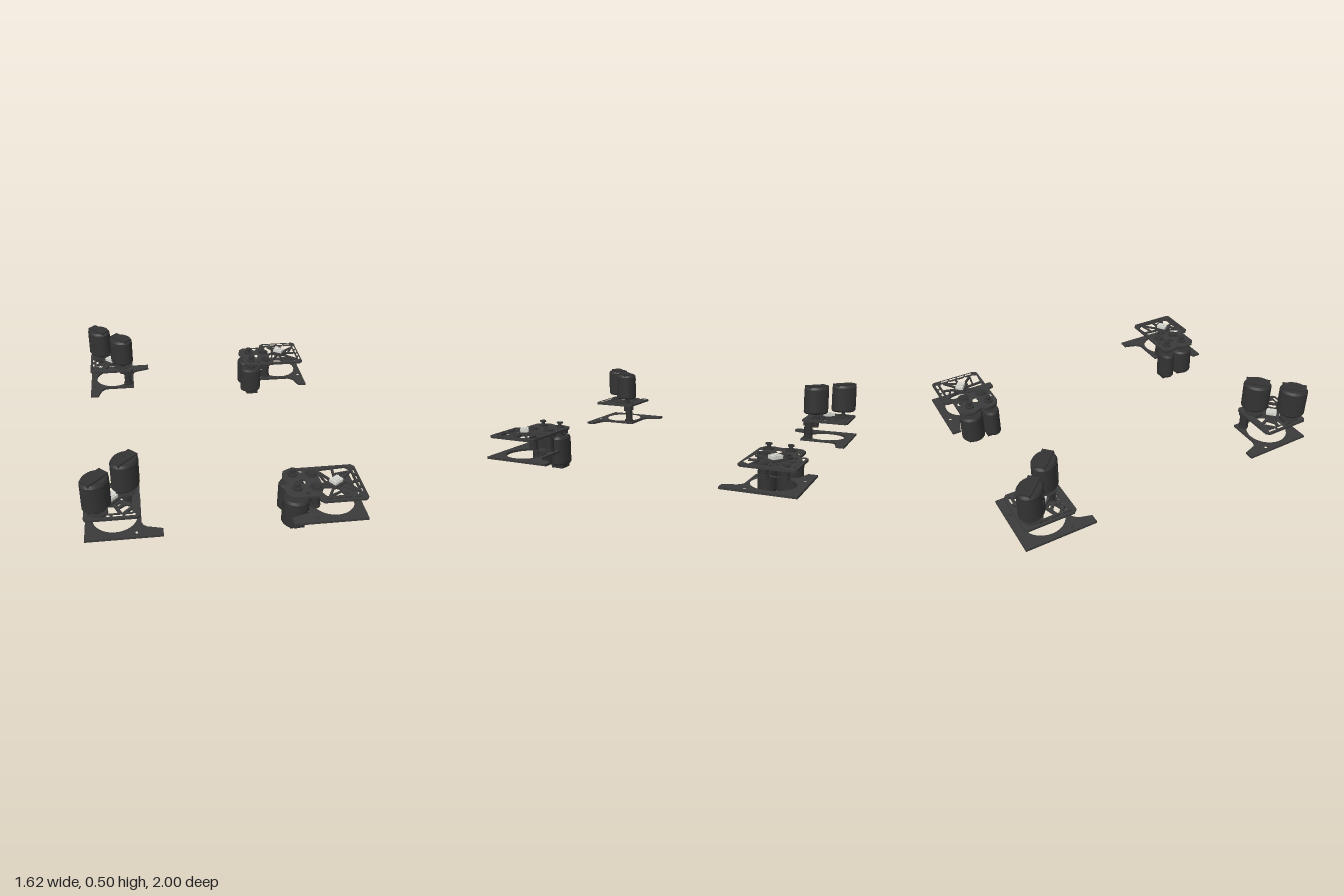
import * as THREE from 'three';

export function createModel() {
  const mat = (name, color) => Object.assign(new THREE.MeshStandardMaterial({ color }), { name });
  const plateMat = mat('charcoal plate', 0x3b3b3b);
  const motorMat = mat('dark motor', 0x333333);
  const whiteMat = mat('light sensor', 0xd6d6d0);

  // Each corner unit is laid out in the +x +z quadrant and mirrored by sx, sz.
  function kit(name, sx, sz) {
    const group = new THREE.Group();
    group.name = name;
    const add = (geo, material, part, x, y, z, turn = 0) => {
      const mesh = new THREE.Mesh(geo, material);
      mesh.name = part;
      mesh.position.set(x * sx, y, z * sz);
      mesh.rotation.y = turn * sx * sz;
      group.add(mesh);
      return mesh;
    };
    const points = pts => pts.map(([x, z]) => new THREE.Vector2(x * sx, z * sz));
    const plate = (part, outline, holes, top, depth, material = plateMat) => {
      const shape = new THREE.Shape(points(outline));
      shape.holes = holes.map(h => new THREE.Path(points(h)));
      const geo = new THREE.ExtrudeGeometry(shape, { depth, bevelEnabled: false });
      add(geo.rotateX(Math.PI / 2), material, part, 0, top, 0);
    };
    const cyl = (part, x, z, y0, y1, r, sides = 20, material = motorMat) =>
      add(new THREE.CylinderGeometry(r, r, y1 - y0, sides), material, part, x, (y0 + y1) / 2, z);
    const box = (part, x, y, z, w, h, d, turn, material = motorMat) =>
      add(new THREE.BoxGeometry(w, h, d), material, part, x, y, z, turn);
    const strut = ([x0, z0], [x1, z1], y, width = 0.013) =>
      box('latticeStrut', (x0 + x1) / 2, y, (z0 + z1) / 2, Math.hypot(x1 - x0, z1 - z0),
        0.012, width, -Math.atan2(z1 - z0, x1 - x0), plateMat);
    return { group, plate, cyl, box, strut, add };
  }

  const rect = (x0, z0, x1, z1) => [[x0, z0], [x1, z0], [x1, z1], [x0, z1]];
  const ring = (cx, cz, r, n = 32) => Array.from({ length: n }, (_, i) => {
    const a = (i / n) * Math.PI * 2;
    return [cx + r * Math.cos(a), cz + r * Math.sin(a)];
  });

  // Corner base plate with two tapering arms and a large round opening
  function basePlate(k) {
    k.plate('basePlate', [
      [0.81, 1], [0.37, 1], [0.37, 0.945], [0.46, 0.92], [0.48, 0.905], [0.49, 0.88],
      [0.49, 0.67], [0.69, 0.67], [0.71, 0.66], [0.73, 0.64], [0.755, 0.56], [0.81, 0.56],
    ], [ring(0.64, 0.82, 0.13), ring(0.52, 0.965, 0.008, 10), ring(0.78, 0.7, 0.008, 10)], 0.13, 0.014);
  }

  // Oval motor can with bevelled ends; rx and rz are its half widths
  function motor(k, x, z, y0, y1, rx, rz, turn) {
    const h = y1 - y0;
    const profile = [[0, 0], [0.9, 0], [1, 0.01], [1, h - 0.015], [0.88, h], [0, h]]
      .map(([r, y]) => new THREE.Vector2(r, y));
    // separate rings keep the rims crisp
    for (let i = 0; i < profile.length - 1; i++) {
      const geo = new THREE.LatheGeometry([profile[i], profile[i + 1]], 28);
      k.add(geo.scale(rx, 1, rz), motorMat, 'motorCan', x, y0, z, turn);
    }
  }

  // Post with collars and a toothed gear, standing between the two plates
  function post(k, x, z, top = 0.25) {
    k.cyl('postFoot', x, z, 0.13, 0.145, 0.032);
    k.cyl('post', x, z, 0.13, top, 0.025);
    k.cyl('postCollar', x, z, 0.15, 0.21, 0.03, 6);
    gear(k, x, z, 0.222, 0.247, 0.038);
  }
  function gear(k, x, z, y0, y1, r) {
    const teeth = Array.from({ length: 32 }, (_, i) => {
      const a = (i / 32) * Math.PI * 2, q = i % 4 < 2 ? r : r * 0.86;
      return [x + q * Math.cos(a), z + q * Math.sin(a)];
    });
    k.plate('gear', teeth, [], y1, y1 - y0, motorMat);
  }

  function sensor(k, x, z, turn) {
    k.box('sensorBoard', x, 0.27, z, 0.1, 0.012, 0.075, turn, plateMat);
    k.box('sensor', x, 0.285, z, 0.066, 0.022, 0.05, turn, whiteMat);
    k.box('sensorLens', x, 0.298, z, 0.03, 0.006, 0.03, turn, whiteMat);
  }

  // Unit with two motors standing on top of the upper plate
  function uprightUnit(name, sx, sz) {
    const k = kit(name, sx, sz), y = 0.258;
    basePlate(k);
    k.plate('upperPlate', [
      [0.505, 0.675], [0.785, 0.675], [0.805, 0.695], [0.805, 0.975], [0.79, 0.99],
      [0.51, 0.99], [0.49, 0.975], [0.49, 0.69],
    ], [
      rect(0.535, 0.72, 0.765, 0.945),
      ...[0, 1, 2].map(i => rect(0.52 + i * 0.07, 0.958, 0.575 + i * 0.07, 0.972)),
      ...[0, 1, 2].map(i => rect(0.778, 0.7 + i * 0.07, 0.79, 0.755 + i * 0.07)),
    ], 0.265, 0.014);
    k.plate('hubRing', ring(0.65, 0.83, 0.05), [ring(0.65, 0.83, 0.02, 16)], 0.265, 0.013);
    for (const [a, b] of [
      [[0.65, 0.83], [0.535, 0.88]], [[0.65, 0.83], [0.6, 0.945]], [[0.65, 0.83], [0.765, 0.79]],
      [[0.65, 0.83], [0.7, 0.72]], [[0.535, 0.9], [0.58, 0.945]], [[0.765, 0.76], [0.72, 0.72]],
      [[0.57, 0.865], [0.62, 0.9]], [[0.68, 0.77], [0.73, 0.8]],
    ]) k.strut(a, b, y, 0.018);

    for (const [x, z] of [[0.728, 0.915], [0.566, 0.755]]) {
      k.cyl('motorMount', x, z, 0.251, 0.267, 0.06);
      k.cyl('motorShaft', x, z, 0.21, 0.31, 0.013, 12);
      k.cyl('motorBoss', x, z, 0.265, 0.278, 0.025);
      gear(k, x, z, 0.205, 0.25, 0.024);
      motor(k, x, z, 0.305, 0.492, 0.088, 0.073, -Math.PI / 4);
      k.box('motorRib', x, 0.49, z, 0.15, 0.022, 0.07, -Math.PI / 4);
      // side terminals
      k.box('motorTerminal', x + 0.05, 0.4, z - 0.05, 0.014, 0.02, 0.02, Math.PI / 4);
      k.box('motorTerminal', x + 0.05, 0.45, z - 0.05, 0.014, 0.012, 0.02, Math.PI / 4);
    }
    post(k, 0.53, 0.715);
    sensor(k, 0.653, 0.828, -Math.PI / 4);
    return k.group;
  }

  // Unit with two motors hanging below the upper plate
  function hangingUnit(name, sx, sz) {
    const k = kit(name, sx, sz), y = 0.258;
    basePlate(k);
    k.plate('upperPlate', [
      [0.4, 0.66], [0.78, 0.66], [0.8, 0.68], [0.8, 0.97], [0.785, 0.985], [0.54, 0.985],
      [0.52, 0.965], [0.52, 0.93], [0.38, 0.93], [0.345, 0.9], [0.335, 0.84], [0.36, 0.79],
      [0.345, 0.74], [0.36, 0.68],
    ], [
      [[0.555, 0.69], [0.74, 0.675], [0.765, 0.71], [0.765, 0.92], [0.745, 0.94], [0.565, 0.94],
        [0.545, 0.9], [0.565, 0.81]],
      ...[0, 1, 2, 3].map(i => rect(0.55 + i * 0.055, 0.956, 0.594 + i * 0.055, 0.97)),
      ...[0, 1, 2, 3].map(i => rect(0.776, 0.7 + i * 0.058, 0.789, 0.746 + i * 0.058)),
      ring(0.46, 0.79, 0.022, 12), ring(0.37, 0.79, 0.005, 8), ring(0.465, 0.9, 0.015, 10),
      ring(0.465, 0.69, 0.015, 10),
    ], 0.265, 0.014);
    // lattice radiating from the hub
    const hub = [0.645, 0.825];
    k.plate('hubRing', ring(...hub, 0.04), [ring(...hub, 0.016, 16)], 0.265, 0.013);
    const rim = [[0.56, 0.69], [0.66, 0.68], [0.765, 0.72], [0.765, 0.82], [0.765, 0.91],
      [0.68, 0.94], [0.58, 0.94], [0.56, 0.82]];
    rim.forEach((p, i) => {
      k.strut(hub, p, y);
      const q = rim[(i + 1) % rim.length];
      const mid = (a, b) => [a[0] + (b[0] - a[0]) * 0.6, a[1] + (b[1] - a[1]) * 0.6];
      if (i % 2) k.strut(mid(hub, p), q, y, 0.01);
    });

    motor(k, 0.41, 0.85, 0.022, 0.21, 0.079, 0.077, 0);
    motor(k, 0.41, 0.714, 0.022, 0.21, 0.077, 0.055, 0);
    for (const z of [0.85, 0.718]) {
      k.box('motorRib', 0.42, 0.018, z, 0.085, 0.036, 0.085);
      k.cyl('motorShaft', 0.412, z, 0.2, 0.3, 0.012, 12);
      k.cyl('motorBoss', 0.412, z, 0.205, 0.25, 0.03);
      k.cyl('shaftCollar', 0.412, z, 0.265, 0.275, 0.03);
      k.cyl('shaftHead', 0.412, z, 0.293, 0.302, 0.02, 12);
      gear(k, 0.412, z, 0.225, 0.247, 0.05);
      k.box('motorTerminal', 0.49, 0.1, z, 0.012, 0.02, 0.016);
    }
    for (const z of [0.725, 0.85]) {
      post(k, 0.525, z);
      k.cyl('postCap', 0.525, z, 0.25, 0.274, 0.03, 6);
      k.cyl('postRing', 0.525, z, 0.25, 0.268, 0.04);
    }
    sensor(k, 0.645, 0.828, 0.6);
    return k.group;
  }

  const model = new THREE.Group();
  model.name = 'cornerUnits';
  for (const [side, sz] of [['front', 1], ['back', -1]]) {
    model.add(uprightUnit(side + 'RightUnit', -1, sz));
    model.add(hangingUnit(side + 'LeftUnit', 1, sz));
  }
  return model;
}
